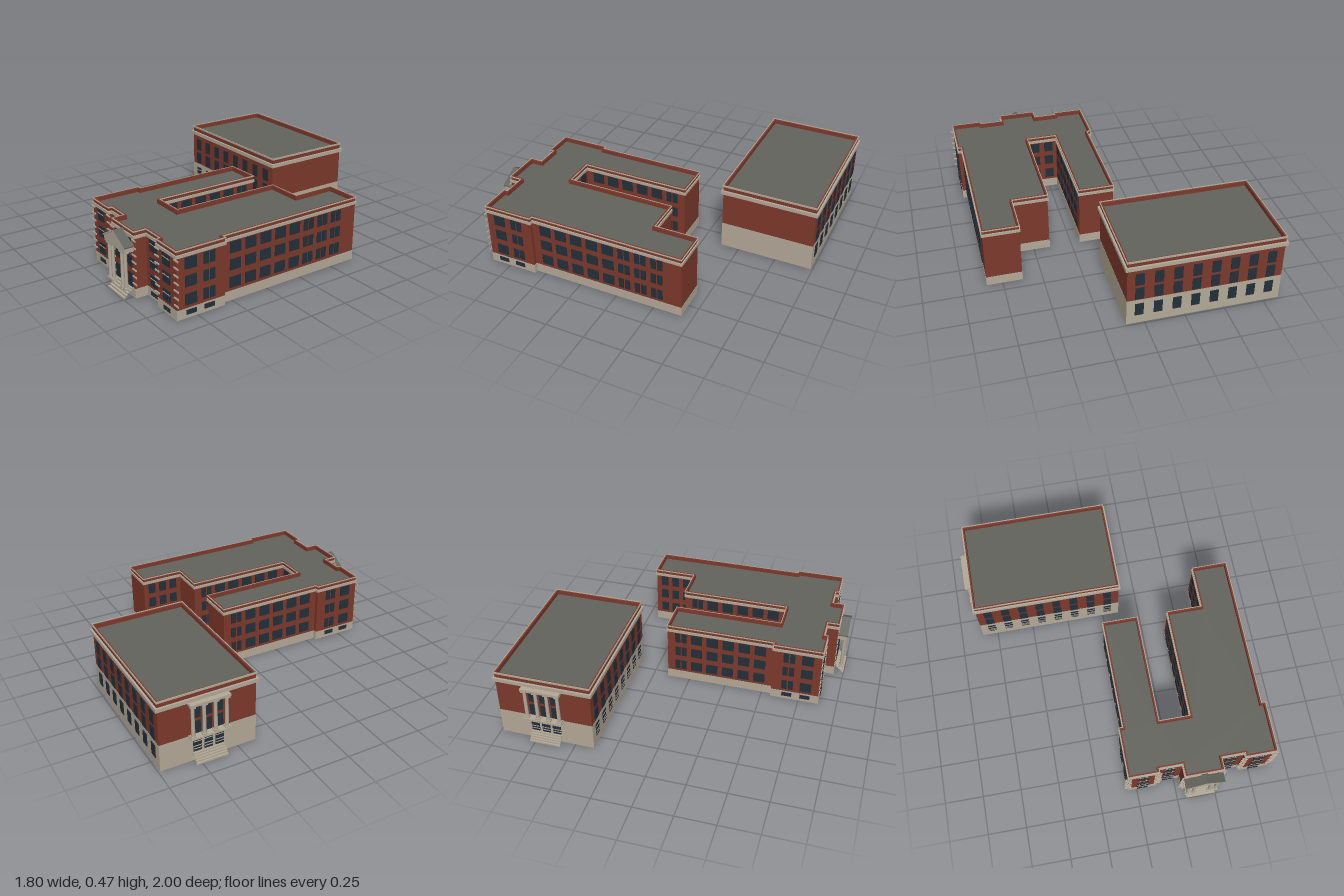
import * as THREE from 'three';

const mat = (name, color) => Object.assign(new THREE.MeshStandardMaterial({ color }), { name });

export function createModel() {
  const brick = mat('brick', 0x7d392c);
  const stone = mat('stone', 0xb3a998);
  const roofing = mat('roofing', 0x62635c);
  const glass = mat('glass', 0x232f3a);
  const model = new THREE.Group();
  model.name = 'campusBuildings';

  const group = (name) => {
    const g = new THREE.Group();
    g.name = name;
    model.add(g);
    return g;
  };
  const add = (parent, name, geometry, material, x = 0, y = 0, z = 0) => {
    const m = new THREE.Mesh(geometry, material);
    m.name = name;
    m.position.set(x, y, z);
    parent.add(m);
    return m;
  };
  // box given by its lower and upper corner on each axis
  const block = (parent, name, material, x0, x1, y0, y1, z0, z1) =>
    add(parent, name, new THREE.BoxGeometry(x1 - x0, y1 - y0, z1 - z0), material,
      (x0 + x1) / 2, (y0 + y1) / 2, (z0 + z1) / 2);

  // push a right-angled plan outline outwards (or inwards when negative)
  const offset = (plan, d) => plan.map(([x, z], i) => {
    const a = plan[(i + plan.length - 1) % plan.length];
    const b = plan[(i + 1) % plan.length];
    const s = (v) => Math.sign(Math.round(v * 1e4));
    return new THREE.Vector2(
      x + d * (s(a[1] - z) + s(z - b[1])),
      -(z + d * (s(x - a[0]) + s(b[0] - x))));
  });
  const slab = (parent, name, material, shape, y0, y1) => {
    const g = new THREE.ExtrudeGeometry(shape, { depth: y1 - y0, bevelEnabled: false });
    add(parent, name, g.rotateX(-Math.PI / 2), material, 0, y0, 0);
  };
  // hollow band following a plan outline
  const ring = (parent, name, material, plan, out, inn, y0, y1) => {
    const shape = new THREE.Shape(offset(plan, out));
    shape.holes.push(new THREE.Path(offset(plan, inn)));
    slab(parent, name, material, shape, y0, y1);
  };

  // thin plate on a wall; axis is the wall normal, side its sign
  const plate = (parent, name, material, axis, side, plane, u, w, y0, y1, lift = 0.002) => {
    const p = plane + side * lift;
    if (axis === 'z') block(parent, name, material, u - w / 2, u + w / 2, y0, y1, p - 0.003, p + 0.003);
    else block(parent, name, material, p - 0.003, p + 0.003, y0, y1, u - w / 2, u + w / 2);
  };

  // column with square base and capital
  const column = (parent, x, z, y0, y1, r) => {
    add(parent, 'columnShaft', new THREE.CylinderGeometry(r * 0.85, r, y1 - y0, 12), stone, x, (y0 + y1) / 2, z);
    block(parent, 'columnBase', stone, x - r * 1.3, x + r * 1.3, y0, y0 + 0.012, z - r * 1.3, z + r * 1.3);
    block(parent, 'columnCapital', stone, x - r * 1.3, x + r * 1.3, y1 - 0.014, y1, z - r * 1.3, z + r * 1.3);
  };

  // open flight of thin treads and risers, descending along +z
  const stairs = (parent, name, width, height, run, steps) => {
    const g = new THREE.Group();
    g.name = name;
    const h = height / steps, d = run / steps, t = 0.003;
    for (let i = 0; i < steps; i++) {
      const y = height - i * h, z = i * d;
      block(g, 'tread', stone, -width / 2, width / 2, y - t, y, z, z + d);
      block(g, 'riser', stone, -width / 2, width / 2, y - h, y, z + d - t, z + d);
    }
    parent.add(g);
    return g;
  };

  // ---- Main building ----
  const main = group('mainBuilding');
  const plan = [
    [-0.06, 0.88], [0.13, 0.88], [0.13, 0.855], [0.285, 0.855], [0.285, 0.935], [0.525, 0.935],
    [0.525, 0.855], [0.68, 0.855], [0.68, 0.88], [0.875, 0.88], [0.875, 0.565], [0.85, 0.565],
    [0.85, -0.43], [0.625, -0.43], [0.625, -0.15], [0.395, -0.15], [0.395, 0.565], [0.19, 0.565],
    [0.19, -0.15], [-0.035, -0.15], [-0.035, 0.565], [-0.06, 0.565],
  ];
  ring(main, 'stoneBase', stone, plan, 0.002, -0.01, 0, 0.06);
  ring(main, 'brickWalls', brick, plan, 0, -0.01, 0.06, 0.415);
  ring(main, 'cornice', stone, plan, 0.007, 0, 0.372, 0.39);
  ring(main, 'copingTrim', stone, plan, 0.005, 0, 0.41, 0.416);
  slab(main, 'roof', roofing, new THREE.Shape(offset(plan, -0.009)), 0.383, 0.388);

  // three storeys of windows
  const floors = [[0.08, 0.148], [0.19, 0.257], [0.295, 0.365]];
  const single = [[0, 0.075]];
  const pair = [[-0.021, 0.033], [0.021, 0.033]];
  const triple = [[-0.031, 0.014], [0, 0.034], [0.031, 0.014]];
  const windows = (axis, side, plane, u, panes) => {
    for (const [y0, y1] of floors)
      for (const [du, w] of panes) plate(main, 'window', glass, axis, side, plane, u + du, w, y0, y1);
  };

  // front bays, with low basement windows
  for (const [x, z] of [[0.036, 0.88], [0.208, 0.855], [0.602, 0.855], [0.777, 0.88]]) {
    windows('z', 1, z, x, triple);
    for (const [y0, y1] of floors)
      plate(main, 'windowBar', stone, 'z', 1, z, x, 0.076, y0 + 0.045, y0 + 0.049, 0.004);
    for (const dx of [-0.018, 0.018])
      for (const y of [0.02, 0.034]) plate(main, 'basementWindow', glass, 'z', 1, z, x + dx, 0.032, y, y + 0.01, 0.003);
  }
  for (const [x, w] of [[0.333, 0.045], [0.405, 0.07], [0.477, 0.045]]) {
    windows('z', 1, 0.935, x, [[0, w]]);
    plate(main, 'entranceDoor', glass, 'z', 1, 0.935, x, w, 0.062, 0.085);
  }

  // side walls and court walls
  const wing = [0.476, 0.369, 0.262, 0.155, 0.048, -0.059];
  const panesAt = (z) => (z < 0 ? pair : single);
  for (const z of wing) {
    windows('x', 1, 0.85, z, panesAt(z));
    windows('x', -1, -0.035, z, panesAt(z));
    windows('x', -1, 0.395, z, panesAt(z));
    windows('x', 1, 0.19, z, panesAt(z));
  }
  for (const z of [-0.166, -0.273]) windows('x', 1, 0.85, z, pair);
  for (const z of [-0.21, -0.29, -0.37]) windows('x', -1, 0.625, z, [[0, 0.05]]);
  for (const x of [0.245, 0.34]) windows('z', -1, 0.565, x, [[0, 0.06]]);
  for (const [side, plane] of [[1, 0.875], [-1, -0.06]]) {
    windows('x', side, plane, 0.79, single);
    windows('x', side, plane, 0.67, pair);
    for (const z of [0.79, 0.67]) plate(main, 'basementWindow', glass, 'x', side, plane, z, 0.066, 0.022, 0.05, 0.003);
  }

  // flat quoin bars at the front corners
  for (const [x, z] of [[-0.06, 0.88], [0.13, 0.88], [0.68, 0.88], [0.875, 0.88], [0.285, 0.935], [0.525, 0.935]])
    for (let i = 0; i < 7; i++)
      plate(main, 'quoin', stone, 'z', 1, z, x, 0.044, 0.087 + i * 0.045, 0.096 + i * 0.045, 0.003);

  // ---- Entrance portico ----
  const portico = group('entrancePortico');
  for (const x of [0.312, 0.352, 0.458, 0.498]) column(portico, x, 0.978, 0.058, 0.297, 0.011);
  block(portico, 'entablature', stone, 0.287, 0.523, 0.295, 0.328, 0.935, 0.995);
  const gable = new THREE.Shape([[0.287, 0.328], [0.523, 0.328], [0.405, 0.39]].map((p) => new THREE.Vector2(...p)));
  add(portico, 'pediment', new THREE.ExtrudeGeometry(gable, { depth: 0.06, bevelEnabled: false }), stone, 0, 0, 0.935);
  const slopes = new THREE.Shape([[0.28, 0.325], [0.405, 0.391], [0.53, 0.325], [0.53, 0.333], [0.405, 0.4], [0.28, 0.333]]
    .map((p) => new THREE.Vector2(...p)));
  add(portico, 'porticoRoof', new THREE.ExtrudeGeometry(slopes, { depth: 0.065, bevelEnabled: false }),
    [stone, roofing], 0, 0, 0.935);
  stairs(portico, 'frontStairs', 0.19, 0.058, 0.063, 5).position.set(0.405, 0, 0.936);

  // ---- Rear hall ----
  const hall = group('rearHall');
  const hallPlan = [[-0.85, -0.38], [0.11, -0.38], [0.11, -0.987], [-0.85, -0.987]];
  ring(hall, 'stoneBase', stone, hallPlan, 0.001, -0.01, 0, 0.175);
  ring(hall, 'brickWalls', brick, hallPlan, 0, -0.01, 0.175, 0.46);
  ring(hall, 'cornice', stone, hallPlan, 0.013, 0, 0.402, 0.426);
  ring(hall, 'copingTrim', stone, hallPlan, 0.005, 0, 0.453, 0.465);
  slab(hall, 'roof', roofing, new THREE.Shape(offset(hallPlan, -0.009)), 0.427, 0.432);

  // lower window with horizontal louvres
  const louvred = (axis, side, plane, u) => {
    plate(hall, 'lowerWindow', glass, axis, side, plane, u, 0.053, 0.062, 0.147);
    for (const y of [0.077, 0.095, 0.126])
      plate(hall, 'louvre', stone, axis, side, plane, u, 0.053, y, y + 0.005, 0.004);
  };
  for (let i = 0; i < 8; i++) {
    const x = -0.775 + i * 0.1155;
    for (const [side, plane] of [[1, -0.38], [-1, -0.987]]) {
      plate(hall, 'upperWindow', glass, 'z', side, plane, x, 0.053, 0.287, 0.37);
      plate(hall, 'middleWindow', glass, 'z', side, plane, x, 0.053, 0.183, 0.265);
    }
    louvred('z', 1, -0.38, x);
    plate(hall, 'lowerWindow', glass, 'z', -1, -0.987, x, 0.053, 0.062, 0.147);
  }

  // colonnade on the left end of the hall
  block(hall, 'colonnadeLedge', stone, -0.895, -0.85, 0.17, 0.18, -0.81, -0.56);
  block(hall, 'colonnadeBeam', stone, -0.895, -0.85, 0.388, 0.404, -0.81, -0.56);
  for (const z of [-0.79, -0.72, -0.65, -0.58]) column(hall, -0.876, z, 0.178, 0.39, 0.012);
  for (const z of [-0.755, -0.685, -0.615]) {
    plate(hall, 'upperWindow', glass, 'x', -1, -0.85, z, 0.045, 0.287, 0.37);
    plate(hall, 'middleWindow', glass, 'x', -1, -0.85, z, 0.045, 0.185, 0.265);
    louvred('x', -1, -0.85, z);
  }
  const sideStairs = stairs(hall, 'sideStairs', 0.2, 0.055, 0.05, 5);
  sideStairs.rotation.y = -Math.PI / 2;
  sideStairs.position.set(-0.852, 0, -0.685);

  return model;
}
